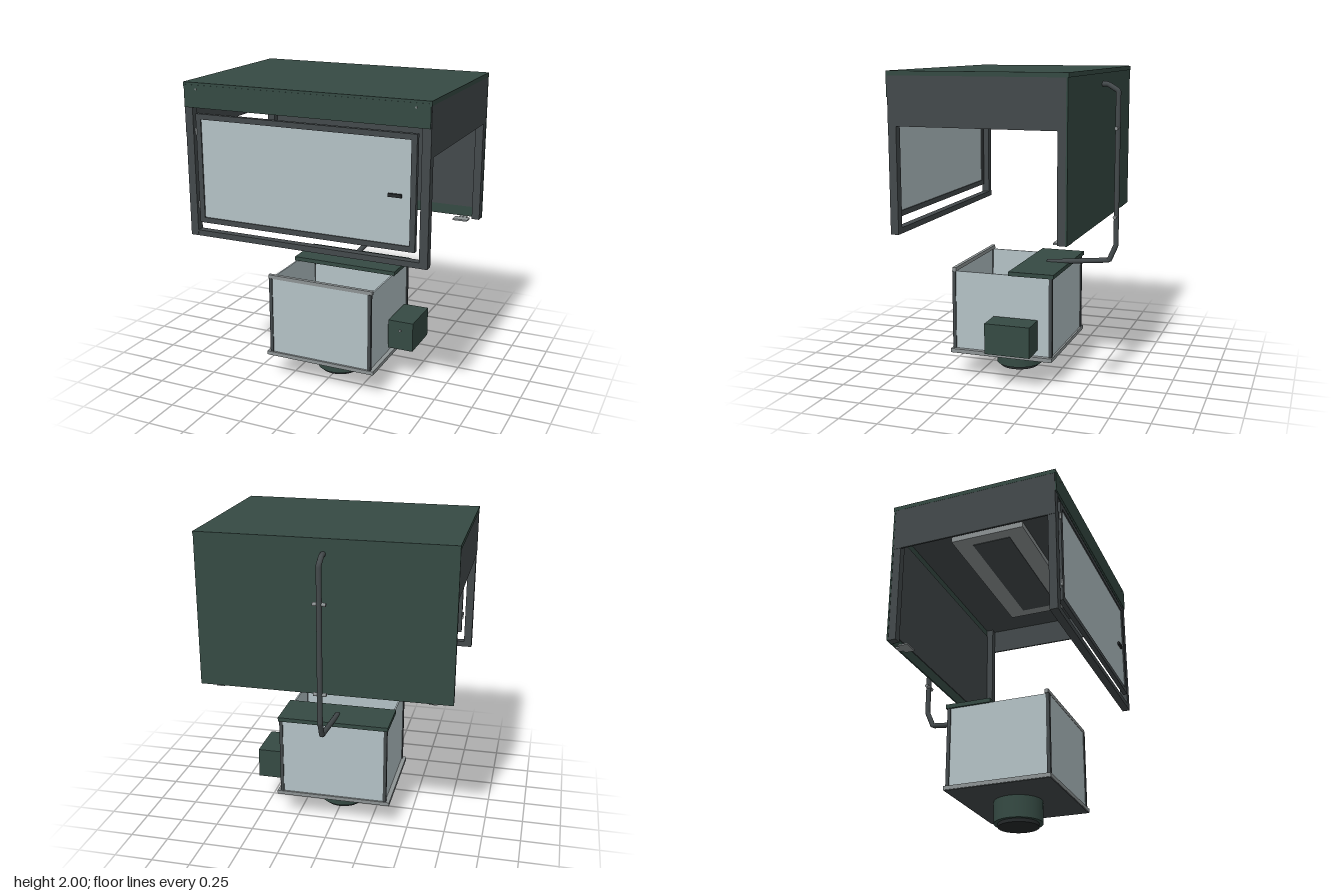
import * as THREE from 'three';

const paint = (color) => new THREE.MeshStandardMaterial({ color });

export function createModel() {
  const model = new THREE.Group();
  const green = paint(0x354a43), dark = paint(0x43494b), black = paint(0x25292a);
  const steel = paint(0x8d9394), glass = paint(0xb4c2c6);

  const add = (name, geometry, material, parent = model) => {
    const mesh = new THREE.Mesh(geometry, material);
    mesh.name = name;
    parent.add(mesh);
    return mesh;
  };
  // Box given by its extents along x, y and z
  const block = (name, material, x0, x1, y0, y1, z0, z1, parent) => {
    const mesh = add(name, new THREE.BoxGeometry(x1 - x0, y1 - y0, z1 - z0), material, parent);
    mesh.position.set((x0 + x1) / 2, (y0 + y1) / 2, (z0 + z1) / 2);
    return mesh;
  };
  // Upright rectangular or horizontal frame, extruded from a shape with a hole
  const frame = (name, material, w, h, border, depth, parent) => {
    const rect = (T, a, b) => {
      const p = new T();
      p.moveTo(-a, -b); p.lineTo(a, -b); p.lineTo(a, b); p.lineTo(-a, b); p.closePath();
      return p;
    };
    const shape = rect(THREE.Shape, w / 2, h / 2);
    shape.holes.push(rect(THREE.Path, w / 2 - border, h / 2 - border));
    return add(name, new THREE.ExtrudeGeometry(shape, { depth, bevelEnabled: false }), material, parent);
  };
  const group = (name) => {
    const g = new THREE.Group();
    g.name = name;
    model.add(g);
    return g;
  };

  // Upper cabinet
  const cabinet = group('cabinet');
  block('roof', green, -0.8, 0.8, 1.972, 2, -0.505, 0.612, cabinet);
  block('frontHeader', green, -0.795, 0.795, 1.845, 1.985, 0.6, 0.614, cabinet);
  block('backPanel', green, -0.8, 0.8, 1.02, 1.975, -0.5, -0.49, cabinet);
  block('backLining', dark, -0.745, 0.745, 1.09, 1.8, -0.49, -0.484, cabinet);
  block('ceiling', dark, -0.79, 0.79, 1.85, 1.86, -0.488, 0.595, cabinet);
  block('frontBottomRail', dark, -0.745, 0.745, 1.02, 1.056, 0.555, 0.605, cabinet);
  for (const s of [-1, 1]) {
    const x = (a, b) => (s > 0 ? [a, b] : [-b, -a]);
    block('sidePanel', dark, ...x(0.788, 0.799), 1.675, 1.972, -0.49, 0.606, cabinet);
    block('frontPost', dark, ...x(0.745, 0.797), 1.02, 1.972, 0.555, 0.606, cabinet);
    block('backPost', dark, ...x(0.745, 0.797), 1.02, 1.972, -0.49, -0.44, cabinet);
    block('mountingPlate', steel, ...x(0.625, 0.725), 1.01, 1.02, -0.46, -0.395, cabinet);
    block('mountingTab', steel, ...x(0.65, 0.7), 1.01, 1.022, -0.49, -0.46, cabinet);
    const screw = add('headerScrew', new THREE.CylinderGeometry(0.006, 0.006, 0.004, 12), steel, cabinet);
    screw.rotation.x = Math.PI / 2;
    screw.position.set(s * 0.71, 1.96, 0.616);
  }

  // Ceiling lamp
  const lamp = group('ceilingLamp');
  block('lampPanel', steel, -0.55, 0.55, 1.812, 1.85, -0.2, 0.3, lamp);
  block('lampInset', dark, -0.47, 0.47, 1.808, 1.814, -0.08, 0.18, lamp);

  // Front door
  const door = group('door');
  frame('doorFrame', dark, 1.44, 0.695, 0.034, 0.03, door).position.set(0, 1.4625, 0.584);
  block('doorGlass', glass, -0.688, 0.688, 1.145, 1.79, 0.592, 0.606, door);
  block('doorHandle', black, 0.552, 0.634, 1.434, 1.454, 0.606, 0.621, door);
  for (const y of [1.23, 1.7]) {
    const hinge = add('hinge', new THREE.CylinderGeometry(0.007, 0.007, 0.045, 12), steel, door);
    hinge.position.set(-0.722, y, 0.611);
  }

  // Drain pipe behind the cabinet, with mitred bends
  const drain = group('drain');
  const points = [[1.905, -0.49], [1.905, -0.535], [1.865, -0.603], [0.87, -0.603], [0.77, -0.56], [0.728, -0.14]]
    .map(([y, z]) => new THREE.Vector3(0, y, z));
  const path = new THREE.CurvePath();
  for (let i = 1; i < points.length; i++) path.add(new THREE.LineCurve3(points[i - 1], points[i]));
  add('pipe', new THREE.TubeGeometry(path, 160, 0.017, 14), dark, drain);
  for (const y of [1.06, 1.63]) {
    const clip = add('pipeClip', new THREE.CylinderGeometry(0.012, 0.012, 0.082, 12), steel, drain);
    clip.rotation.z = Math.PI / 2;
    clip.position.set(0, y, -0.6);
  }

  // Lower glass tank
  const tank = group('tank');
  block('basePlate', steel, -0.383, 0.383, 0.165, 0.19, -0.287, 0.402, tank);
  block('baseUnderside', dark, -0.378, 0.378, 0.162, 0.166, -0.282, 0.397, tank);
  block('frontGlass', glass, -0.345, 0.345, 0.19, 0.71, 0.378, 0.388, tank);
  block('backGlass', glass, -0.345, 0.345, 0.19, 0.71, -0.275, -0.265, tank);
  for (const s of [-1, 1]) {
    block('sideGlass', glass, s * 0.349 - 0.005, s * 0.349 + 0.005, 0.19, 0.708, -0.265, 0.378, tank);
    for (const z of [-0.271, 0.383])
      block('cornerPost', dark, s * 0.35 - 0.011, s * 0.35 + 0.011, 0.19, 0.71, z - 0.011, z + 0.011, tank);
  }
  block('frontTopRail', steel, -0.367, 0.367, 0.708, 0.733, 0.366, 0.39, tank);
  block('lid', green, -0.367, 0.367, 0.706, 0.733, -0.292, 0.008, tank);

  // Motor under the tank
  const motor = group('motor');
  const disc = (name, material, radius, y0, y1) => {
    const mesh = add(name, new THREE.CylinderGeometry(radius, radius, y1 - y0, 48), material, motor);
    mesh.position.set(0, (y0 + y1) / 2, 0.055);
  };
  disc('motorBody', green, 0.155, 0.022, 0.165);
  disc('motorCap', black, 0.13, 0, 0.022);
  disc('tankDisc', dark, 0.155, 0.19, 0.196);

  // Control box on the tank's left side
  const control = group('controlBox');
  block('controlCase', green, 0.368, 0.54, 0.234, 0.432, -0.19, 0.107, control);
  block('controlBracket', dark, 0.352, 0.37, 0.29, 0.38, -0.09, 0.01, control);
  const knob = add('knob', new THREE.CylinderGeometry(0.008, 0.008, 0.01, 16), steel, control);
  knob.rotation.x = Math.PI / 2;
  knob.position.set(0.453, 0.37, 0.111);

  return model;
}
